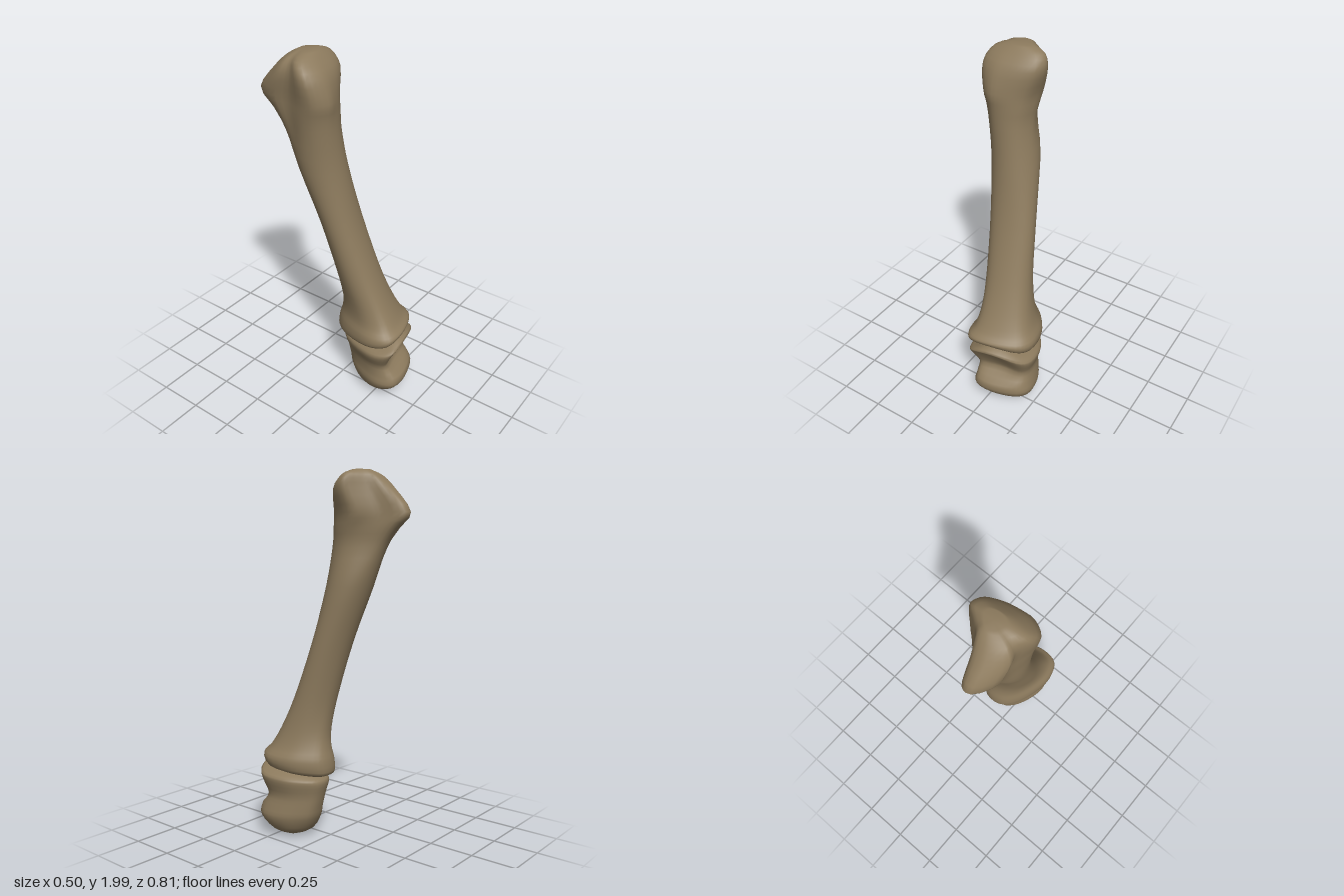
import * as THREE from 'three';

const SEG = 40; // points around each ring
const STEPS = 3; // rings per section
const { smoothstep, lerp } = THREE.MathUtils;

// Closed smooth outline through [x, z] points, resampled and scaled to -1..1 on both axes
function outline(points) {
  const curve = new THREE.CatmullRomCurve3(points.map(([x, z]) => new THREE.Vector3(x, 0, z)), true);
  const pts = Array.from({ length: SEG }, (_, i) => curve.getPoint(i / SEG));
  const box = new THREE.Box3().setFromPoints(pts);
  const c = box.getCenter(new THREE.Vector3());
  const s = box.getSize(new THREE.Vector3());
  return pts.map(p => [2 * (p.x - c.x) / s.x, 2 * (p.z - c.z) / s.z]);
}

// Outlines run left edge, front, right edge, back
const round = Array.from({ length: SEG }, (_, i) => {
  const a = i / SEG * Math.PI * 2;
  return [-Math.cos(a), Math.sin(a)];
});
const headShape = outline([
  [-0.25, -0.08], [-0.24, -0.01], [-0.16, 0.04], [-0.08, 0.03], [0, 0], [0.06, -0.05], [0.08, -0.16],
  [0.01, -0.23], [-0.045, -0.29], [-0.09, -0.4], [-0.15, -0.41], [-0.235, -0.29], [-0.215, -0.19],
]);
const jointShape = outline([
  [-0.13, 0.2], [-0.135, 0.3], [-0.1, 0.38], [-0.03, 0.4], [0.1, 0.375], [0.2, 0.32],
  [0.235, 0.25], [0.22, 0.12], [0.17, 0.03], [0.1, -0.035], [0, -0.03], [-0.07, 0.04],
]);

// Smooth curve through four neighbouring values
function spline(a, b, c, d, t) {
  const m0 = (c - a) / 2, m1 = (d - b) / 2;
  return b + m0 * t + (3 * (c - b) - 2 * m0 - m1) * t * t + (2 * (b - c) + m0 + m1) * t * t * t;
}

// Fills in rings between the given sections
function refine(sections) {
  const last = sections.length - 1;
  const at = k => sections[Math.min(Math.max(k, 0), last)];
  return Array.from({ length: last * STEPS + 1 }, (_, n) => {
    const k = Math.floor(n / STEPS), t = n / STEPS - k;
    return at(k).map((v, c) => spline(at(k - 1)[c], v, at(k + 1)[c], at(k + 2)[c], t));
  });
}

// Skin over sections [y, xMin, xMax, zMin, zMax, blend], bottom to top.
// blend goes from a round outline to the shaped one; relief(y, v, mid) gives a [dy, dz] shift
function loft(sections, shapeAt, relief) {
  const rings = refine(sections);
  const pos = [], index = [];
  rings.forEach(([y, x0, x1, z0, z1, blend], r) => {
    const shape = shapeAt(y);
    for (let i = 0; i < SEG; i++) {
      const u = lerp(round[i][0], shape[i][0], blend);
      const v = lerp(round[i][1], shape[i][1], blend);
      const [dy, dz] = relief(y, v, Math.max(0, v) * (1 - u * u));
      pos.push((x0 + x1 + u * (x1 - x0)) / 2, y + dy, (z0 + z1 + v * (z1 - z0)) / 2 + dz);
      if (r === 0) continue;
      const j = (i + 1) % SEG, a = (r - 1) * SEG, b = r * SEG;
      index.push(a + i, a + j, b + j, a + i, b + j, b + i);
    }
  });
  // End caps
  for (const r of [0, rings.length - 1]) {
    const [y, x0, x1, z0, z1] = rings[r];
    const c = pos.length / 3;
    pos.push((x0 + x1) / 2, y, (z0 + z1) / 2);
    for (let i = 0; i < SEG; i++) {
      const a = r * SEG + i, b = r * SEG + (i + 1) % SEG;
      index.push(c, r ? a : b, r ? b : a);
    }
  }
  const geo = new THREE.BufferGeometry();
  geo.setAttribute('position', new THREE.Float32BufferAttribute(pos, 3));
  geo.setIndex(index);
  geo.computeVertexNormals();
  return geo;
}

export function createModel() {
  const bone = new THREE.MeshStandardMaterial({ color: 0x8c7a5d });
  bone.name = 'bone';
  const group = new THREE.Group();
  group.name = 'legBones';
  const add = (name, geometry) => {
    const mesh = new THREE.Mesh(geometry, bone);
    mesh.name = name;
    group.add(mesh);
  };

  // Flared lower joint, slender leaning shaft, head with a rear knob
  add('longBone', loft([
    [0.39, -0.06, 0.17, 0.03, 0.31, 1],
    [0.40, -0.13, 0.22, -0.03, 0.385, 1],
    [0.46, -0.135, 0.235, -0.032, 0.397, 1],
    [0.52, -0.11, 0.20, -0.012, 0.355, 0.9],
    [0.62, -0.105, 0.165, 0, 0.295, 0.7],
    [0.80, -0.125, 0.13, -0.02, 0.215, 0.4],
    [1.10, -0.16, 0.095, -0.095, 0.115, 0.3],
    [1.40, -0.20, 0.055, -0.20, 0.055, 0],
    [1.60, -0.215, 0.025, -0.275, 0.04, 0.4],
    [1.70, -0.225, 0.03, -0.345, 0.04, 0.7],
    [1.78, -0.235, 0.04, -0.405, 0.04, 1],
    [1.90, -0.25, 0.075, -0.31, 0.005, 0.9],
    [1.97, -0.215, 0.055, -0.24, -0.06, 0.7],
    [2.00, -0.13, -0.02, -0.19, -0.10, 0.4],
  ], y => (y < 1.4 ? jointShape : headShape), (y, v, mid) => {
    const low = 1 - smoothstep(y, 0.40, 0.52); // arched, tilted lower rim
    return [low * (0.025 * v + 0.03 * mid), 0];
  }));

  // Rounded lower end, hollow waist, upper joint rim
  add('shortBone', loft([
    [0.01, 0.06, 0.13, 0.16, 0.22, 0],
    [0.045, -0.045, 0.20, 0.085, 0.325, 0.7],
    [0.12, -0.09, 0.244, 0.04, 0.40, 1],
    [0.18, -0.083, 0.235, 0.025, 0.397, 1],
    [0.25, -0.085, 0.22, 0.012, 0.37, 1],
    [0.33, -0.122, 0.244, -0.002, 0.408, 1],
    [0.365, -0.105, 0.235, 0.015, 0.395, 1],
    [0.395, -0.02, 0.15, 0.09, 0.29, 0.6],
    [0.40, 0.03, 0.10, 0.14, 0.22, 0],
  ], () => jointShape, (y, v, mid) => {
    const rim = smoothstep(y, 0.27, 0.36);
    const waist = Math.max(0, 1 - ((y - 0.27) / 0.09) ** 2);
    return [rim * (0.015 * v + 0.045 * mid), -0.06 * waist * mid];
  }));

  return group;
}
